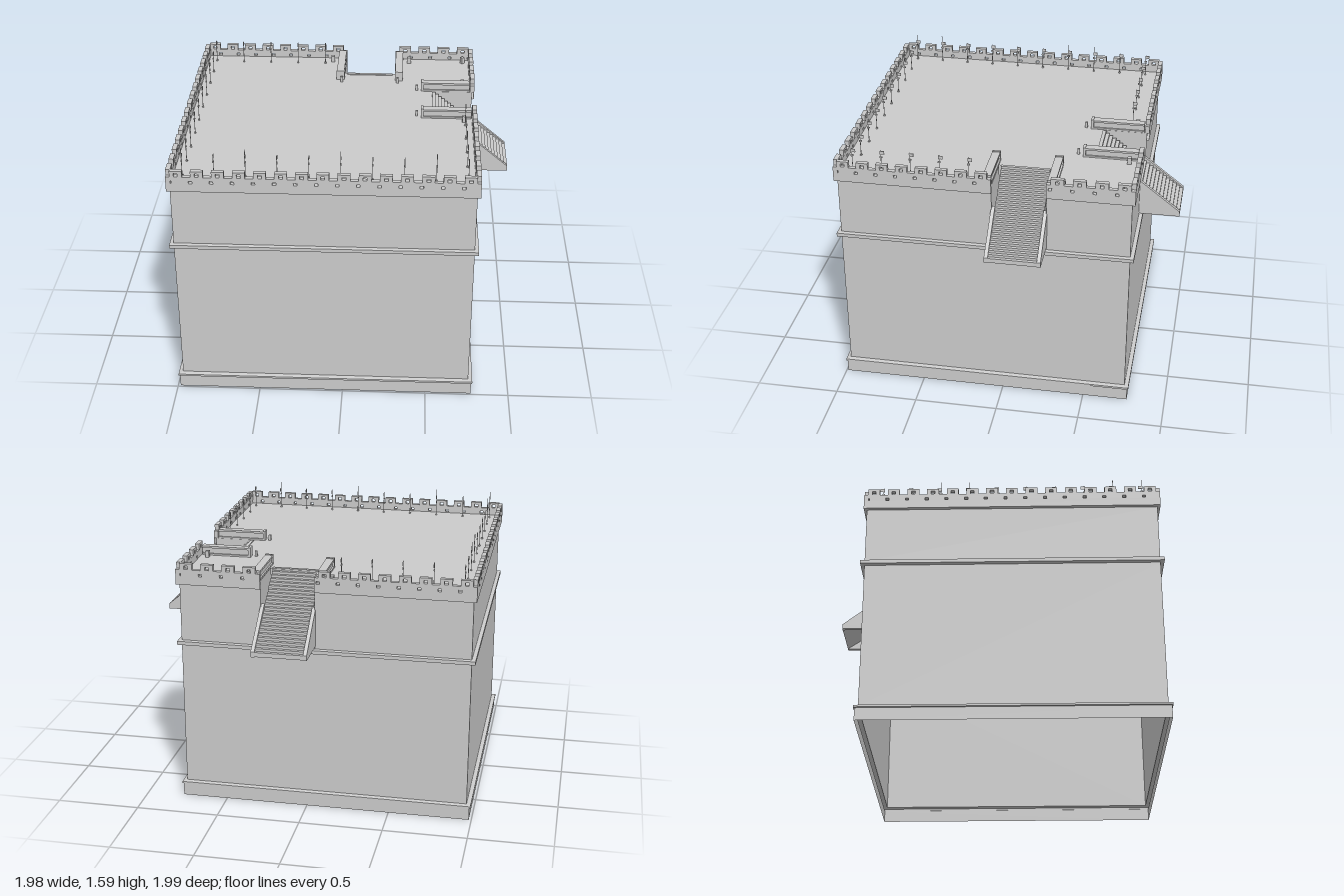
import * as THREE from 'three';

const CX = -0.105, CZ = 0.11, DECK = 1.41, OUT = 0.88;
const STAIR_X = 0.11, STAIR_Z = -0.1, GAP = 0.16; // stair centre lines and half width of the openings
const mat = new THREE.MeshStandardMaterial({ color: 0xcccccc, flatShading: true, side: THREE.DoubleSide });

function add(parent, name, geometry, x = 0, y = 0, z = 0) {
  const m = new THREE.Mesh(geometry, mat);
  m.name = name;
  m.position.set(x, y, z);
  parent.add(m);
  return m;
}
const box = (parent, name, w, h, d, x, y, z) => add(parent, name, new THREE.BoxGeometry(w, h, d), x, y, z);
const shapeOf = (pts) => new THREE.Shape(pts.map((p) => new THREE.Vector2(p[0], p[1])));
const extrude = (shape, depth) => new THREE.ExtrudeGeometry(shape, { depth, bevelEnabled: false });

// The four sides; u runs along the side, gap is the stair opening in u
const sides = [
  { name: 'front', at: (u, h) => [CX + u, CZ + h] },
  { name: 'right', at: (u, h) => [CX + h, CZ - u], gap: [CZ - STAIR_Z - GAP, CZ - STAIR_Z + GAP] },
  { name: 'back', at: (u, h) => [CX - u, CZ - h], gap: [CX - STAIR_X - GAP, CX - STAIR_X + GAP] },
  { name: 'left', at: (u, h) => [CX - h, CZ + u] },
];

// Hollow wall shell: half width and height, stepped at each moulding
const profile = [
  [0.88, 0], [0.88, 0.075], [0.887, 0.078], [0.887, 0.09], [0.862, 0.095],
  [0.862, 0.985], [0.885, 0.988], [0.885, 1.01], [0.862, 1.013],
  [0.862, 1.36], [0.88, 1.363], [0.88, DECK],
];

function wallSide(side) {
  const pos = [];
  for (let i = 0; i < profile.length - 1; i++) {
    const [h0, y0] = profile[i], [h1, y1] = profile[i + 1];
    const spans = side.gap && y0 > 1.01
      ? [[-h0, -h1, side.gap[0], side.gap[0]], [side.gap[1], side.gap[1], h0, h1]]
      : [[-h0, -h1, h0, h1]];
    for (const [a0, a1, b0, b1] of spans) {
      const p = (u, h, y) => { const [x, z] = side.at(u, h); return [x, y, z]; };
      const A = p(a0, h0, y0), B = p(b0, h0, y0), C = p(b1, h1, y1), D = p(a1, h1, y1);
      pos.push(...A, ...B, ...C, ...A, ...C, ...D);
    }
  }
  const g = new THREE.BufferGeometry();
  g.setAttribute('position', new THREE.Float32BufferAttribute(pos, 3));
  g.computeVertexNormals();
  return g;
}

// Battlement strip from u = a to b, with merlons, arrow windows and drain holes
function battlement(a, b) {
  const n = Math.max(1, Math.round((b - a) / 0.117)), s = (b - a) / n;
  const pts = [[a, 0], [b, 0]], holes = [];
  const rect = (x, y, w, h) => new THREE.Path([
    new THREE.Vector2(x, y), new THREE.Vector2(x, y + h),
    new THREE.Vector2(x + w, y + h), new THREE.Vector2(x + w, y)]);
  for (let i = n - 1; i >= 0; i--) {
    const l = a + i * s, m0 = l + s * 0.2, m1 = l + s * 0.8;
    pts.push([l + s, 0.045], [m1, 0.045], [m1, 0.082], [m0, 0.082], [m0, 0.045], [l, 0.045]);
    holes.push(rect(l + s / 2 - 0.011, 0.048, 0.022, 0.02));
    holes.push(rect(l + s * 0.1, 0.006, 0.02, 0.016));
  }
  const shape = shapeOf(pts);
  shape.holes = holes;
  return extrude(shape, 0.027);
}

function pole(parent, x, z, tall) {
  const g = new THREE.Group();
  g.name = 'bannerPole';
  g.position.set(x, DECK, z);
  const h = tall ? 0.175 : 0.14;
  add(g, 'shaft', new THREE.CylinderGeometry(0.002, 0.002, h, 5), 0, h / 2, 0);
  box(g, 'poleFoot', 0.01, 0.008, 0.01, 0, 0.004, 0);
  box(g, 'pennant', 0.004, 0.02, 0.026, 0, 0.125, -0.008);
  box(g, 'crossbar', 0.008, 0.008, 0.016, 0, 0.095, 0);
  parent.add(g);
}

// Staircase: local +x points out of the wall, local x = 0 lies on the wall
function staircase(name) {
  const g = new THREE.Group();
  g.name = name;
  const N = 24, d0 = 0.225, d1 = -0.25, y0 = 1.045, run = (d0 - d1) / N, rise = (DECK + 0.005 - y0) / N;
  const pts = [[d0, y0 - 0.012]];
  for (let i = 0; i < N; i++) pts.push([d0 - i * run, y0 + (i + 1) * rise], [d0 - (i + 1) * run, y0 + (i + 1) * rise]);
  pts.push([d1, DECK - 0.03]);
  add(g, 'steps', extrude(shapeOf(pts), 0.29), 0, 0, -0.145);

  const cheek = shapeOf([[-0.02, 1.03], [d0, 1.03], [d0, 1.062], [0, 1.25], [-0.02, 1.266]]);
  const inner = shapeOf([[d1, 1.013], [0, 1.013], [0, DECK], [d1, DECK]]);
  for (const s of [-1, 1]) {
    add(g, 'stringer', extrude(cheek, 0.022), 0, 0, s * 0.153 - 0.011);
    add(g, 'openingWall', new THREE.ShapeGeometry(inner), 0, 0, s * GAP);
    // Low wall beside the opening, with coping and foot
    box(g, 'sideParapet', 0.305, 0.045, 0.03, -0.168, DECK + 0.0225, s * 0.187);
    box(g, 'parapetFoot', 0.305, 0.01, 0.05, -0.168, DECK + 0.005, s * 0.187);
    box(g, 'parapetCoping', 0.305, 0.012, 0.048, -0.168, DECK + 0.05, s * 0.187);
    box(g, 'endBlock', 0.015, 0.06, 0.05, -0.313, DECK + 0.03, s * 0.187);
    box(g, 'newelPost', 0.014, 0.035, 0.014, -0.348, DECK + 0.0175, s * 0.178);
    box(g, 'deckPost', 0.022, 0.04, 0.024, -0.06, DECK + 0.02, s * 0.25);
  }
  return g;
}

export function createModel() {
  const root = new THREE.Group();
  root.name = 'fortressBlock';

  // Walls and battlements
  for (const side of sides) {
    add(root, side.name + 'Wall', wallSide(side));
    const spans = side.gap ? [[-OUT, side.gap[0]], [side.gap[1], OUT]] : [[-OUT, OUT]];
    const [x, z] = side.at(0, OUT - 0.027);
    for (const [a, b] of spans) {
      const m = add(root, side.name + 'Battlement', battlement(a, b), x, DECK, z);
      m.rotation.y = sides.indexOf(side) * Math.PI / 2;
    }
  }

  // Roof deck with a notch for each staircase
  const l = CX - OUT, r = CX + OUT, f = -(CZ + OUT), k = -(CZ - OUT);
  const deck = shapeOf([
    [l, f], [r, f], [r, -STAIR_Z - GAP], [0.51, -STAIR_Z - GAP], [0.51, -STAIR_Z + GAP], [r, -STAIR_Z + GAP],
    [r, k], [STAIR_X + GAP, k], [STAIR_X + GAP, 0.51], [STAIR_X - GAP, 0.51], [STAIR_X - GAP, k], [l, k],
  ]);
  add(root, 'roofDeck', new THREE.ShapeGeometry(deck), 0, DECK, 0).rotation.x = -Math.PI / 2;

  // Staircases
  const right = staircase('rightStaircase');
  right.position.set(0.76, 0, STAIR_Z);
  const back = staircase('backStaircase');
  back.position.set(STAIR_X, 0, -0.755);
  back.scale.x = 1.08;
  back.rotation.y = Math.PI / 2;
  root.add(right, back);
  box(root, 'cornerPost', 0.022, 0.04, 0.022, 0.71, DECK + 0.02, -0.7).rotation.y = 0.7;

  // Banner poles along the edges
  for (let i = 0; i < 10; i++) {
    const x = -0.905 + i * 0.179, z = 0.89 - i * 0.1725;
    pole(root, x, 0.89, [0, 2, 5, 8].includes(i));
    if (i > 0) pole(root, -0.905, z, [1, 6, 7].includes(i));
    if (i > 0 && i < 5) {
      pole(root, 0.705, z, false);
      pole(root, x, -0.655, false);
    }
  }
  return root;
}
